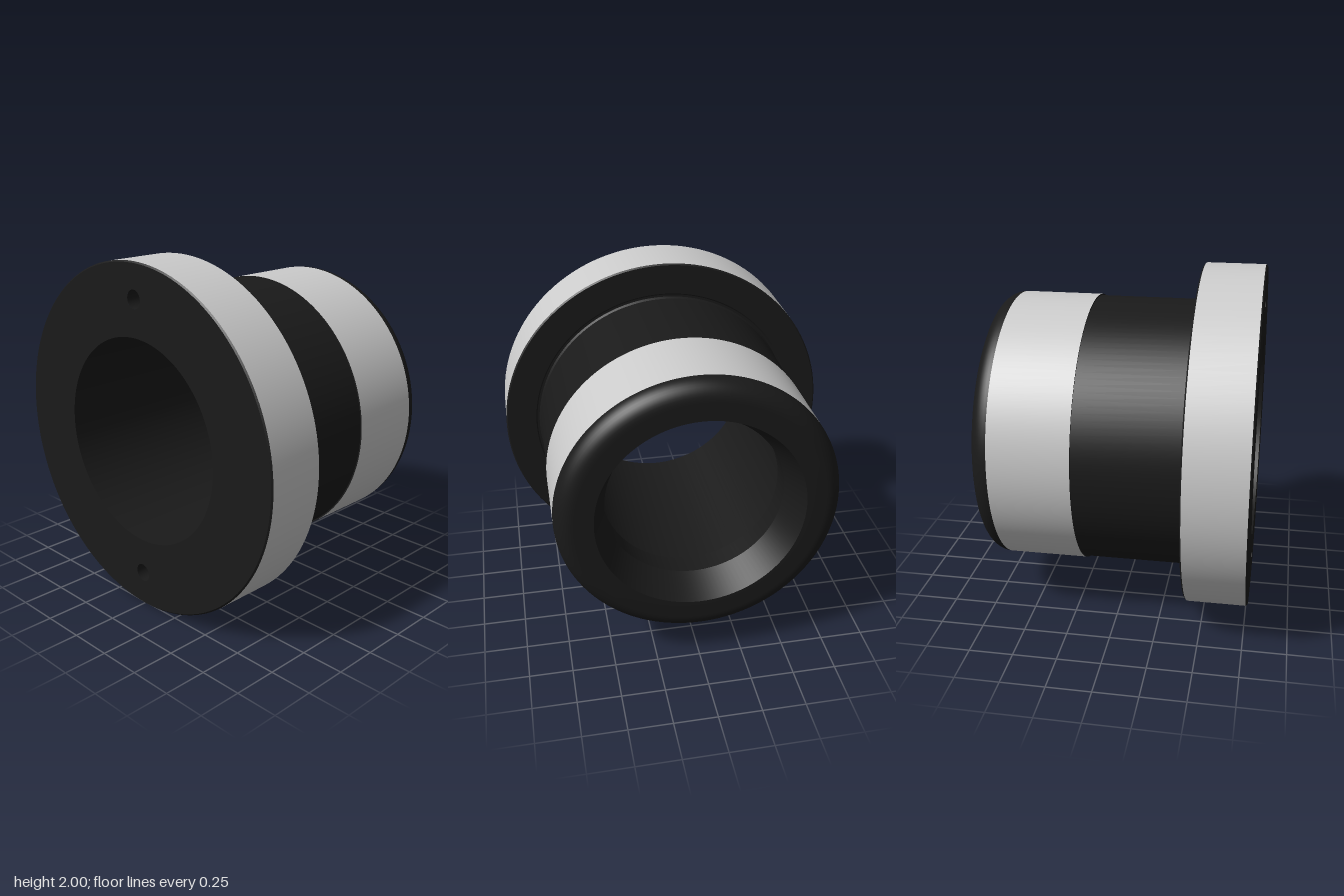
import * as THREE from 'three';
import { toCreasedNormals } from 'three/addons/utils/BufferGeometryUtils.js';

const SEGMENTS = 128;

// Revolves [radius, axial] points; rising axial positions face outward.
function turned(name, points, material, segments = SEGMENTS) {
  const profile = points.map(([r, a]) => new THREE.Vector2(r, a));
  const geometry = toCreasedNormals(new THREE.LatheGeometry(profile, segments), 0.5);
  const mesh = new THREE.Mesh(geometry, material);
  mesh.name = name;
  return mesh;
}

// Quarter-round of profile points about a centre, from angle a0 to a1.
function arc(r, a, radius, a0, a1, steps = 10) {
  return Array.from({ length: steps + 1 }, (_, i) => {
    const t = a0 + ((a1 - a0) * i) / steps;
    return [r + radius * Math.cos(t), a + radius * Math.sin(t)];
  });
}

export function createModel() {
  const steel = new THREE.MeshStandardMaterial({ color: 0xcccccc });
  const black = new THREE.MeshStandardMaterial({ color: 0x1a1a1a });

  const end = 0.765;      // half length
  const boreBack = 0.59;  // bore radius at the flange
  const boreLip = 0.507;  // bore radius at the nose
  const pinCircle = 0.8;
  const pinRadius = 0.052;

  const bushing = new THREE.Group();
  bushing.name = 'bushing';

  // Flange: bright rim between two dark bevelled faces
  bushing.add(turned('flangeRim', [[1, -end + 0.008], [1, -0.418]], steel));
  bushing.add(turned('flangeBackBevel', [[0.992, -end], [1, -end + 0.008]], black));
  bushing.add(turned('flangeShoulder', [
    [1, -0.418], [0.992, -0.41], [0.815, -0.41],
    [0.808, -0.414], [0.795, -0.414], [0.787, -0.4],
  ], black));

  // Flange back face with the bore and two pin holes cut out
  const face = new THREE.Shape().absarc(0, 0, 0.992, 0, Math.PI * 2);
  const cut = (x, r) => face.holes.push(new THREE.Path().absarc(x, 0, r, 0, Math.PI * 2, true));
  cut(0, boreBack);
  cut(pinCircle, pinRadius);
  cut(-pinCircle, pinRadius);
  const backFace = new THREE.Mesh(new THREE.ShapeGeometry(face, SEGMENTS / 2).rotateX(Math.PI / 2), black);
  backFace.name = 'flangeBackFace';
  backFace.position.y = -end;
  bushing.add(backFace);

  // Blind pin holes
  for (const side of [-1, 1]) {
    const hole = turned('pinHole', [[0, 0.13], [pinRadius, 0.1], [pinRadius, 0]], black, 32);
    hole.position.set(side * pinCircle, -end, 0);
    bushing.add(hole);
  }

  // Sleeve and the slightly larger bright band
  bushing.add(turned('sleeve', [[0.787, -0.4], [0.787, 0.2], [0.795, 0.2]], black));
  bushing.add(turned('band', [[0.795, 0.2], [0.795, 0.66]], steel));

  // Rounded nose with a tapered lead-in
  bushing.add(turned('nose', [
    ...arc(0.69, 0.66, 0.105, 0, Math.PI / 2),
    [0.585, end], [boreLip, 0.58],
  ], black));

  // Bore, opening out behind the lip
  bushing.add(turned('bore', [[boreLip, 0.58], [boreLip, 0.45], [boreBack, 0.4], [boreBack, -end]], black));

  // Lay the axis along x and stand the flange on the ground
  bushing.rotation.z = -Math.PI / 2;
  bushing.position.y = 1;

  const model = new THREE.Group();
  model.name = 'flangedBushing';
  model.add(bushing);
  return model;
}
